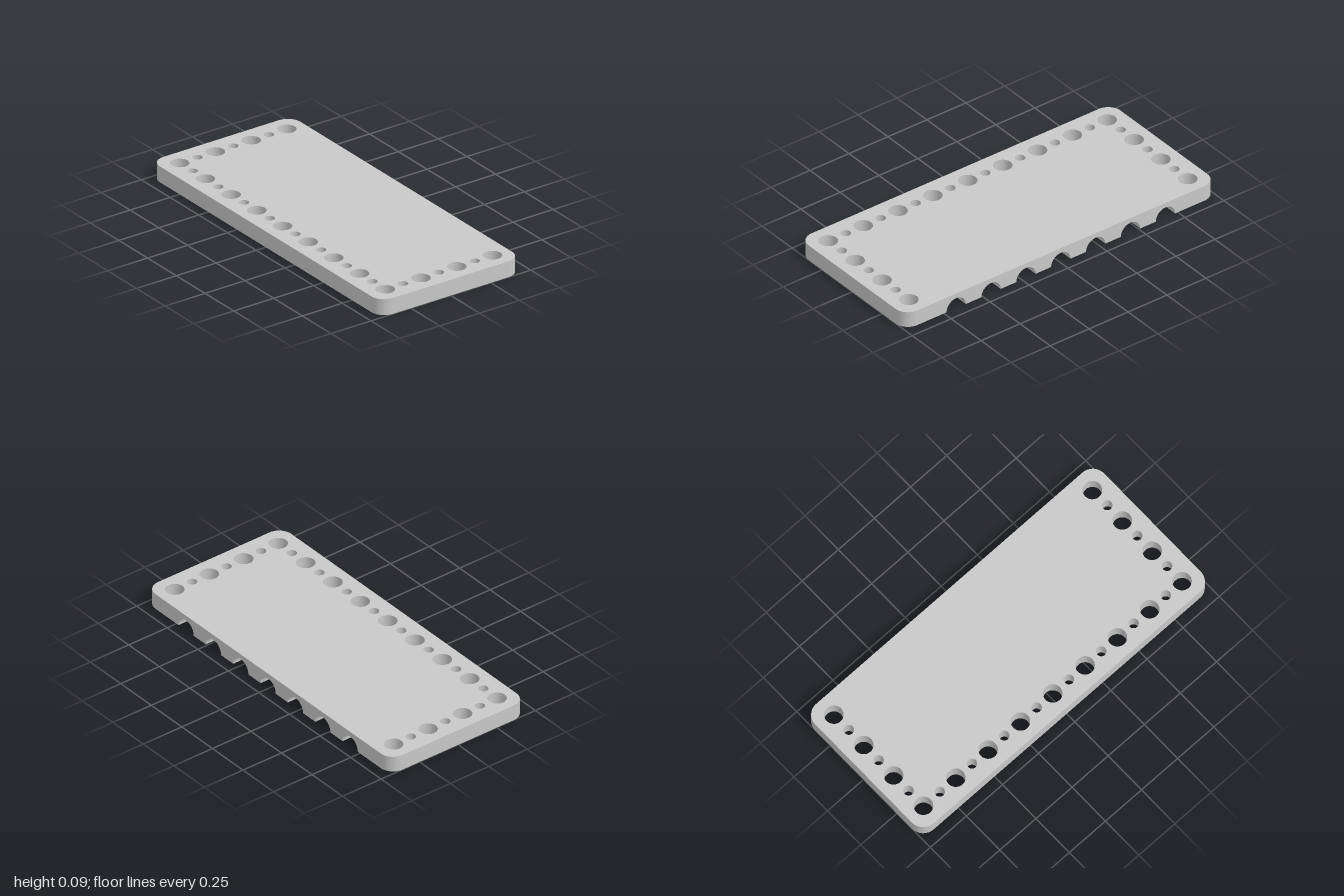
import * as THREE from 'three';

const H = 0.09, X = 1, Z = 0.44, CORNER = 0.078;     // plate size
const PITCH = 0.2237;                                // hole and groove spacing
const GROOVE_R = 0.062, GROOVE_END = 0.263;

const arc = (cx, cy, r, from, to, n) => Array.from({ length: n + 1 }, (_, i) => {
  const a = from + (to - from) * i / n;
  return new THREE.Vector2(cx + r * Math.cos(a), cy + r * Math.sin(a));
});

// Smooth strip between two rows of points
function strip(a, b) {
  const g = new THREE.PlaneGeometry(1, 1, a.length - 1, 1);
  [...a, ...b].forEach((p, i) => g.attributes.position.setXYZ(i, p.x, p.y, p.z));
  g.computeVertexNormals();
  return g;
}
const wall = (pts) => strip(
  pts.map((p) => new THREE.Vector3(p.x, H, p.y)),
  pts.map((p) => new THREE.Vector3(p.x, 0, p.y)));

export function createModel() {
  const group = new THREE.Group();
  const grey = new THREE.MeshStandardMaterial({ color: 0xc8c8c8 });
  grey.name = 'lightGrey';
  const add = (name, geometry) => {
    const mesh = new THREE.Mesh(geometry, grey);
    mesh.name = name;
    group.add(mesh);
  };

  // Alternating large and small holes along the front and both sides
  const holes = [];
  const addHole = (x, z, i) => holes.push(arc(x, z, i % 2 ? 0.027 : 0.05, 0, 2 * Math.PI, 32));
  for (let i = 0; i <= 16; i++) addHole((i - 8) * PITCH / 2, 0.335, i);
  for (const side of [-1, 1]) {
    for (let i = 1; i <= 6; i++) addHole(side * 4 * PITCH, 0.335 - i * PITCH / 2, i);
  }
  const grooves = [3, 2, 1, 0, -1, -2, -3].map((k) => k * PITCH);

  // Rounded outline in x and z, from the back right round the front to the back left
  const P = Math.PI, cx = X - CORNER, cz = Z - CORNER;
  const outline = [
    ...arc(-cx, -cz, CORNER, 1.5 * P, P, 12),
    ...arc(-cx, cz, CORNER, P, 0.5 * P, 12),
    ...arc(cx, cz, CORNER, 0.5 * P, 0, 12),
    ...arc(cx, -cz, CORNER, 0, -0.5 * P, 12),
  ];
  const notches = grooves.flatMap((x) => [
    [x + GROOVE_R, -Z], [x + GROOVE_R, GROOVE_END], [x - GROOVE_R, GROOVE_END], [x - GROOVE_R, -Z],
  ].map(([u, v]) => new THREE.Vector2(u, v)));

  // Flat face with the holes cut out
  const face = (points, sign) => {
    const flip = (list) => list.map((p) => new THREE.Vector2(p.x, sign * p.y));
    const shape = new THREE.Shape(flip(points));
    shape.holes = holes.map((h) => new THREE.Path(flip(h.slice(0, -1))));
    return new THREE.ShapeGeometry(shape).rotateX(sign * P / 2);
  };
  add('topFace', face(outline, -1).translate(0, H, 0));
  add('bottomFace', face([...outline, ...notches], 1));
  add('outerWall', wall(outline));
  holes.forEach((h) => add('holeWall', wall(h)));

  // Back wall with a half-round opening for each groove
  const back = [new THREE.Vector2(cx, 0), new THREE.Vector2(cx, H),
    new THREE.Vector2(-cx, H), new THREE.Vector2(-cx, 0)];
  [...grooves].reverse().forEach((x) => back.push(...arc(x, 0, GROOVE_R, P, 0, 24)));
  add('backWall', new THREE.ShapeGeometry(new THREE.Shape(back)).rotateY(P).translate(0, 0, -Z));

  // Half-round grooves in the underside, open at the back
  for (const x of grooves) {
    const curve = arc(x, 0, GROOVE_R, 0, P, 24);
    add('groove', strip(
      curve.map((p) => new THREE.Vector3(p.x, p.y, -Z)),
      curve.map((p) => new THREE.Vector3(p.x, p.y, GROOVE_END))));
    add('grooveEnd', new THREE.CircleGeometry(GROOVE_R, 24, 0, P).rotateY(P).translate(x, 0, GROOVE_END));
  }
  return group;
}
